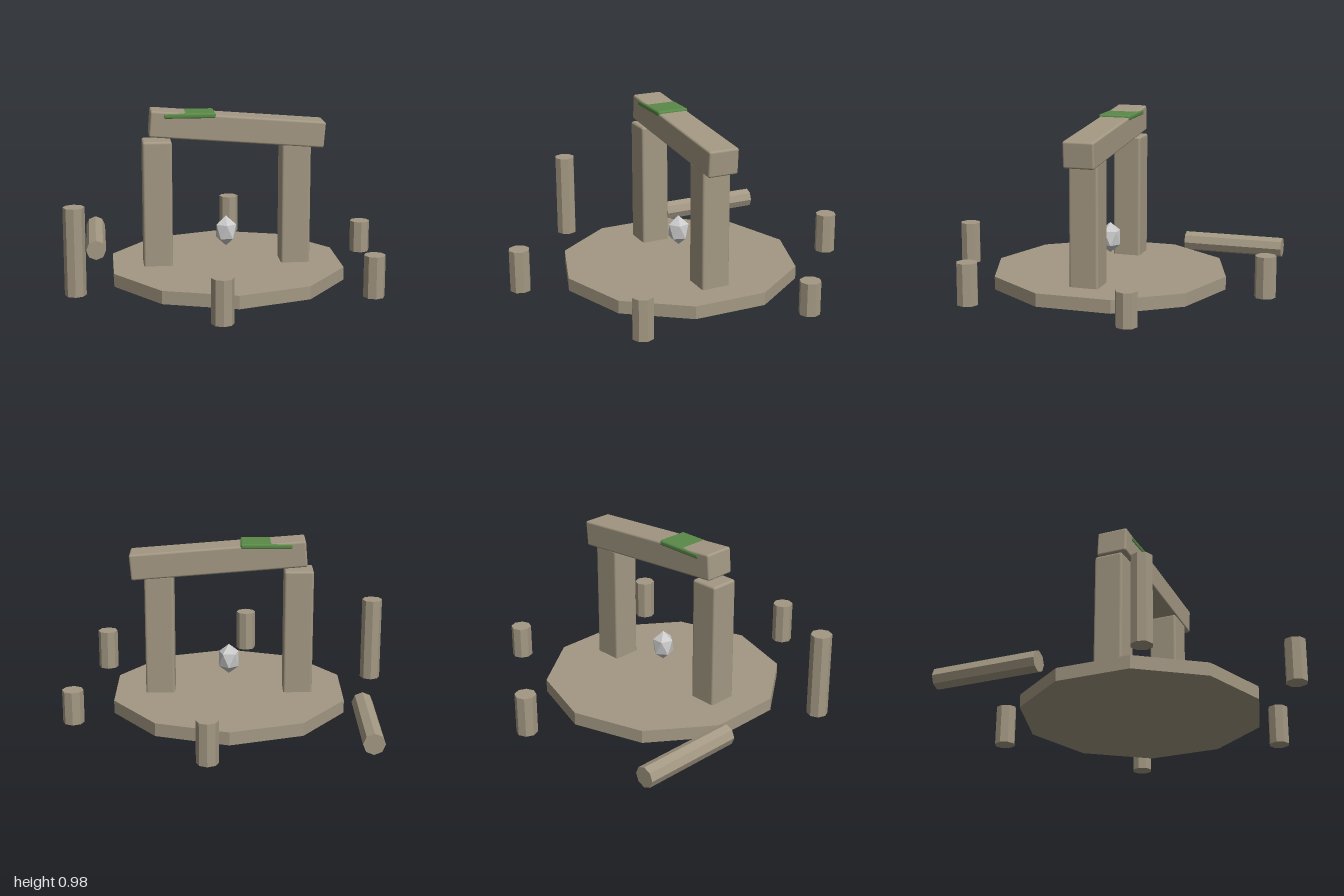
import * as THREE from 'three';
import { RoundedBoxGeometry } from 'three/addons/geometries/RoundedBoxGeometry.js';

const stone = new THREE.MeshStandardMaterial({ color: 0xa39883 });
const facetedStone = new THREE.MeshStandardMaterial({ color: 0xa39883, flatShading: true });
const mossGreen = new THREE.MeshStandardMaterial({ color: 0x5a8a48 });
const crystalGrey = new THREE.MeshStandardMaterial({ color: 0xcccccc, flatShading: true });

export function createModel() {
  const model = new THREE.Group();
  model.name = 'stoneShrine';

  const add = (name, geometry, material, x, y, z) => {
    const mesh = new THREE.Mesh(geometry, material);
    mesh.name = name;
    mesh.position.set(x, y, z);
    model.add(mesh);
    return mesh;
  };

  // Ten-sided platform
  add('platform', new THREE.CylinderGeometry(0.69, 0.69, 0.075, 10), facetedStone, 0, 0.0375, 0);

  // Two upright slabs, slightly sunk into the platform
  const addUpright = (name, x, top) => {
    const bottom = 0.055;
    const height = top - bottom;
    add(name, new RoundedBoxGeometry(0.167, height, 0.167, 3, 0.014), stone, x, bottom + height / 2, 0);
  };
  addUpright('rightUpright', -0.398, 0.8);
  addUpright('leftUpright', 0.397, 0.775);

  // Tilted lintel and the moss patch on it
  const lintel = add('lintel', new RoundedBoxGeometry(1.0, 0.15, 0.178, 3, 0.012), stone, 0.06, 0.863, 0);
  lintel.rotation.z = -0.08;
  add('mossPatch', new RoundedBoxGeometry(0.295, 0.032, 0.186, 3, 0.012), mossGreen, -0.213, 0.946, 0);

  // Floating crystal: icosahedron turned point-up and stretched
  const crystal = new THREE.IcosahedronGeometry(0.067, 0);
  crystal.rotateX(-Math.atan((1 + Math.sqrt(5)) / 2));
  crystal.scale(1, 1.34, 1);
  add('crystal', crystal, crystalGrey, 0, 0.255, 0);

  // Ring of broken pillars, 60 degrees apart; the last one has fallen
  const ringRadius = 0.945;
  const heights = [0.235, 0.245, 0.495, 0.61, 0.235, 0.19];
  heights.forEach((height, i) => {
    const angle = THREE.MathUtils.degToRad(37 + 60 * i);
    const fallen = i === 3;
    const pillar = add(
      fallen ? 'fallenPillar' : `brokenPillar${i + 1}`,
      new THREE.CylinderGeometry(0.06, 0.06, height, 8),
      facetedStone,
      ringRadius * Math.cos(angle),
      fallen ? 0.083 : 0.01 + height / 2,
      ringRadius * Math.sin(angle)
    );
    if (fallen) pillar.rotation.x = Math.PI / 2;
  });

  return model;
}
